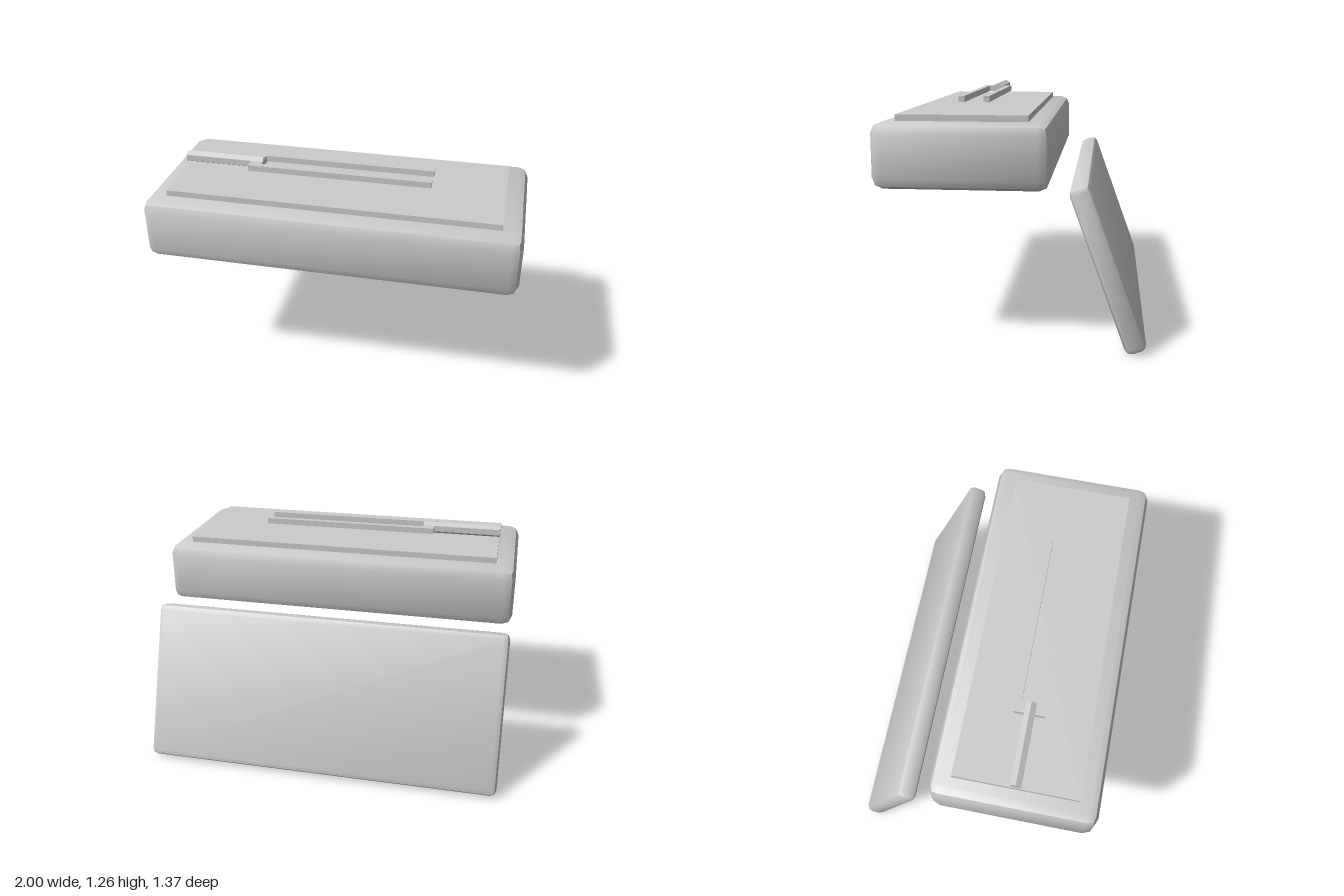
import * as THREE from 'three';
import { toCreasedNormals } from 'three/addons/utils/BufferGeometryUtils.js';
import { RoundedBoxGeometry } from 'three/addons/geometries/RoundedBoxGeometry.js';

const CENTRE_Z = 0.2445; // middle of the body, plate and fork
const FORK_Y = 1.23;

export function createModel() {
  const model = new THREE.Group();
  model.name = 'caseWithFork';
  const grey = new THREE.MeshStandardMaterial({ color: 0xcccccc });
  grey.name = 'light grey';

  const add = (name, geometry, x, y, z) => {
    const mesh = new THREE.Mesh(geometry, grey);
    mesh.name = name;
    mesh.position.set(x, y, z);
    model.add(mesh);
    return mesh;
  };
  // box with a two-facet bevel, creased along the middle of each bevel
  const bevelledBox = (w, h, d, r) =>
    toCreasedNormals(new RoundedBoxGeometry(w, h, d, 1, r), THREE.MathUtils.degToRad(32));

  // case body
  add('body', bevelledBox(2, 0.333, 0.889, 0.0556), 0, 0.982, CENTRE_Z);

  // open lid leaning behind the body
  const lid = add('lid', bevelledBox(2, 0.889, 0.111, 0.0333), 0, 0.428, -0.49);
  lid.rotation.x = THREE.MathUtils.degToRad(20);

  // raised plate on top of the body
  add('liningPlate', new THREE.BoxGeometry(1.78, 0.044, 0.667), 0, 1.159, CENTRE_Z);

  // six-sided fork handle lying along x, with a corner pointing up
  const handle = new THREE.CylinderGeometry(0.0333, 0.0333, 0.445, 6, 1, false, Math.PI / 2);
  handle.rotateZ(Math.PI / 2);
  add('forkHandle', toCreasedNormals(handle, 0.5), -0.667, FORK_Y, CENTRE_Z);

  // U-shaped fork head: crossbar and two prongs
  const back = -0.51, inner = -0.443, tip = 0.498, out = 0.0833, gap = 0.051;
  const outline = new THREE.Shape([
    [back, -out], [tip, -out], [tip, -gap], [inner, -gap],
    [inner, gap], [tip, gap], [tip, out], [back, out],
  ].map(([x, y]) => new THREE.Vector2(x, y)));
  const head = new THREE.ExtrudeGeometry(outline, { depth: 0.0333, bevelEnabled: false });
  head.translate(0, 0, -0.0167).rotateX(-Math.PI / 2);
  add('forkHead', head, 0, FORK_Y, CENTRE_Z);

  return model;
}
